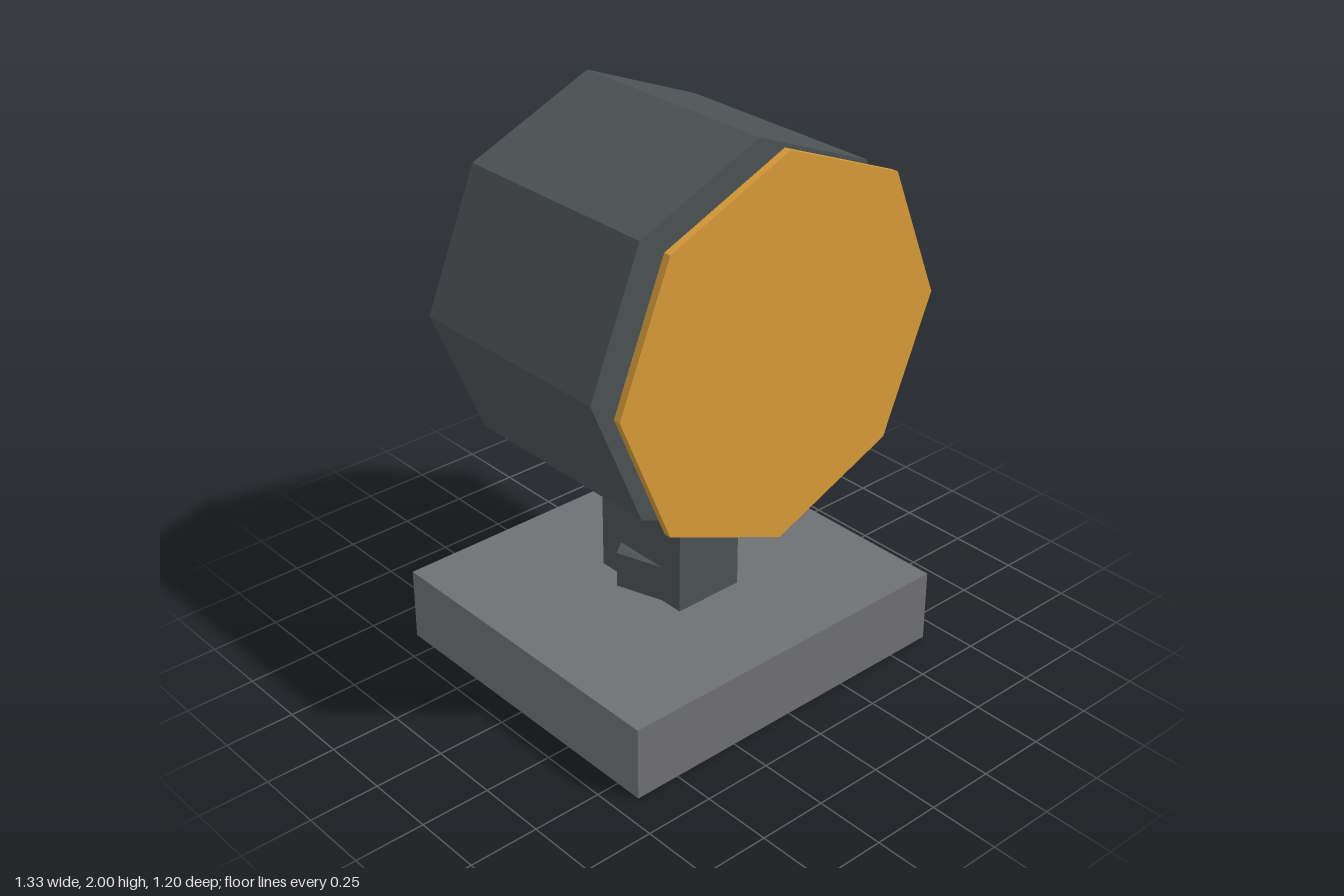
import * as THREE from 'three';

const flat = (name, color) => {
  const m = new THREE.MeshStandardMaterial({ color, flatShading: true });
  m.name = name;
  return m;
};

export function createModel() {
  const darkGrey = flat('dark grey', 0x4c5253);
  const baseGrey = flat('base grey', 0x6f7074);
  const paleGrey = flat('pale grey', 0xc6c2b9);
  const amber = flat('amber', 0xd89a39);

  const model = new THREE.Group();
  model.name = 'lamp';

  const add = (name, geometry, material, x, y, z) => {
    const mesh = new THREE.Mesh(geometry, material);
    mesh.name = name;
    mesh.position.set(x, y, z);
    model.add(mesh);
  };

  // Octagonal disc facing +z, with a corner pointing up
  const octagon = (name, material, radius, back, front) => {
    const g = new THREE.CylinderGeometry(radius, radius, front - back, 8).rotateX(Math.PI / 2);
    add(name, g, material, 0, 1.333, (back + front) / 2);
  };

  // Stand
  add('base', new THREE.BoxGeometry(1.333, 0.267, 1.2), baseGrey, 0, 0.1335, 0);
  add('post', new THREE.BoxGeometry(0.267, 0.7, 0.4), darkGrey, 0, 0.6, 0);

  // Five-sided collar whose corners poke out of both sides of the post
  const collar = new THREE.CylinderGeometry(0.199, 0.199, 0.15, 5).rotateY(Math.PI);
  add('postCollar', collar, darkGrey, 0, 0.325, 0);

  // Lamp head
  octagon('housing', darkGrey, 0.667, -0.4, 0.4);
  octagon('lensRing', paleGrey, 0.546, 0.39, 0.5);
  octagon('lens', amber, 0.667, 0.507, 0.533);

  return model;
}
